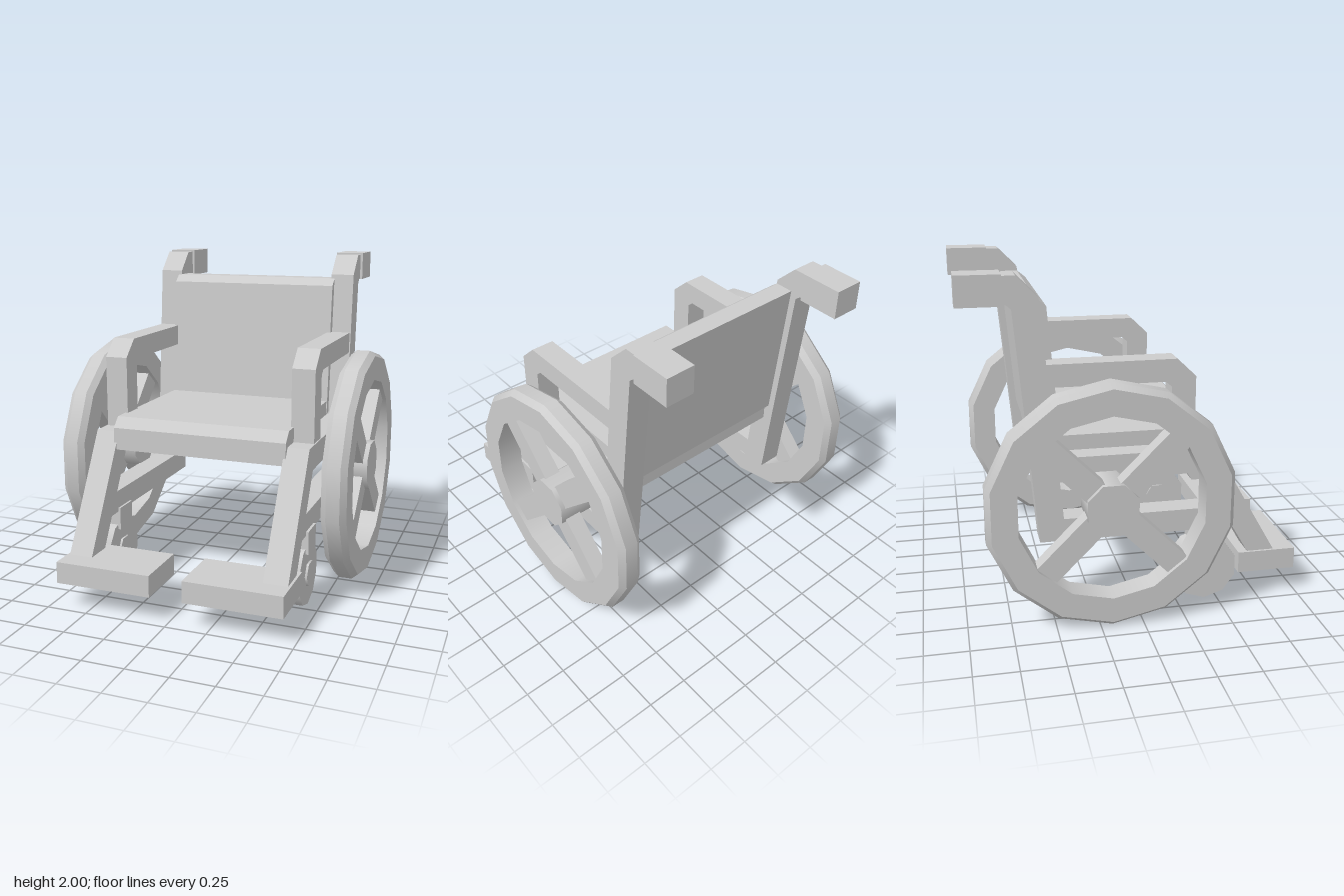
import * as THREE from 'three';
import { mergeGeometries } from 'three/addons/utils/BufferGeometryUtils.js';

const grey = new THREE.MeshStandardMaterial({ color: 0xcccccc });
grey.name = 'grey';

function part(name, geometry, parent) {
  const mesh = new THREE.Mesh(geometry, grey);
  mesh.name = name;
  parent.add(mesh);
  return mesh;
}

// Extrude a (z, y) side profile across x, centred on x = mid
function sideProfile(points, width, mid, hole) {
  const toVecs = (list) => list.map(([z, y]) => new THREE.Vector2(z, y));
  const shape = new THREE.Shape(toVecs(points));
  if (hole) shape.holes.push(new THREE.Path(toVecs(hole)));
  const g = new THREE.ExtrudeGeometry(shape, { depth: width, bevelEnabled: false });
  return g.rotateY(-Math.PI / 2).translate(mid + width / 2, 0, 0);
}

function box(x0, x1, y0, y1, z0, z1) {
  return new THREE.BoxGeometry(Math.abs(x1 - x0), y1 - y0, z1 - z0)
    .translate((x0 + x1) / 2, (y0 + y1) / 2, (z0 + z1) / 2);
}

// Cylinder lying along x
function disc(radius, width, sides, start) {
  return new THREE.CylinderGeometry(radius, radius, width, sides, 1, false, start)
    .rotateZ(Math.PI / 2);
}

// Ring around x with smooth bands and sharp edges between them
function ring(profile, sides) {
  const bands = profile.map(([r, h], i) => {
    const [r2, h2] = profile[(i + 1) % profile.length];
    return new THREE.LatheGeometry(
      [new THREE.Vector2(r, h), new THREE.Vector2(r2, h2)], sides, Math.PI / 2);
  });
  return mergeGeometries(bands).rotateZ(Math.PI / 2);
}

const FRAME = [
  [0.855, 0.28], [0.465, 0.96], [-0.46, 0.96], [-0.54, 1.87], [-0.66, 1.99], [-0.74, 1.99],
  [-0.74, 1.835], [-0.715, 1.835], [-0.687, 1.81], [-0.565, 0.456], [0.587, 0.456], [0.69, 0.28],
];
const FRAME_HOLE = [[0.38, 0.815], [-0.445, 0.815], [-0.425, 0.59], [0.51, 0.59]];
const ARMREST = [
  [0.34, 0.96], [0.34, 1.395], [0.23, 1.5], [-0.52, 1.5],
  [-0.51, 1.37], [0.165, 1.37], [0.2, 1.34], [0.2, 0.96],
];
const SEAT = [[0.5, 0.855], [0.5, 0.99], [0.44, 1.05], [-0.54, 1.05], [-0.54, 0.855]];
const BACKREST = [[-0.415, 0.97], [-0.485, 1.8], [-0.54, 1.845], [-0.65, 1.845], [-0.572, 0.97]];
const TIRE = [
  [0.72, -0.04], [0.72, 0.04], [0.69, 0.075], [0.54, 0.075], [0.54, -0.075], [0.69, -0.075],
];

function largeWheel(s) {
  const wheel = new THREE.Group();
  wheel.name = 'largeWheel';
  wheel.position.set(s * 0.83, 0.72, -0.18);
  part('rim', ring(TIRE, 14), wheel);
  // Two crossed bars give four spokes
  for (const turn of [1, -1]) {
    part('spokes', new THREE.BoxGeometry(0.1, 0.142, 1.14).rotateX(turn * Math.PI / 4), wheel);
  }
  part('hub', disc(0.156, 0.24, 8, Math.PI / 8).translate(-s * 0.042, 0, 0), wheel);
  return wheel;
}

function castor(s) {
  const group = new THREE.Group();
  group.name = 'castor';
  const x = s * 0.603;
  part('castorWheel', disc(0.197, 0.138, 10, Math.PI / 2).translate(x, 0.197, 0.425), group);
  part('castorHub', disc(0.077, 0.165, 6, 0).translate(x, 0.197, 0.425), group);
  part('castorFork', box(x - 0.087, x + 0.087, 0.34, 0.48, 0.34, 0.5), group);
  return group;
}

export function createModel() {
  const model = new THREE.Group();
  model.name = 'wheelchair';

  part('seat', sideProfile(SEAT, 1.09, 0), model);
  part('backrest', sideProfile(BACKREST, 1.1, 0), model);

  for (const s of [1, -1]) {
    const side = new THREE.Group();
    side.name = s > 0 ? 'leftSide' : 'rightSide';
    part('sideFrame', sideProfile(FRAME, 0.146, s * 0.602, FRAME_HOLE), side);
    part('armrest', sideProfile(ARMREST, 0.14, s * 0.598), side);
    part('handGrip', box(s * 0.515, s * 0.69, 1.83, 2, -0.985, -0.735), side);
    part('footplate', box(s * 0.1, s * 0.69, 0.155, 0.285, 0.63, 0.985), side);
    side.add(largeWheel(s), castor(s));
    model.add(side);
  }
  return model;
}
